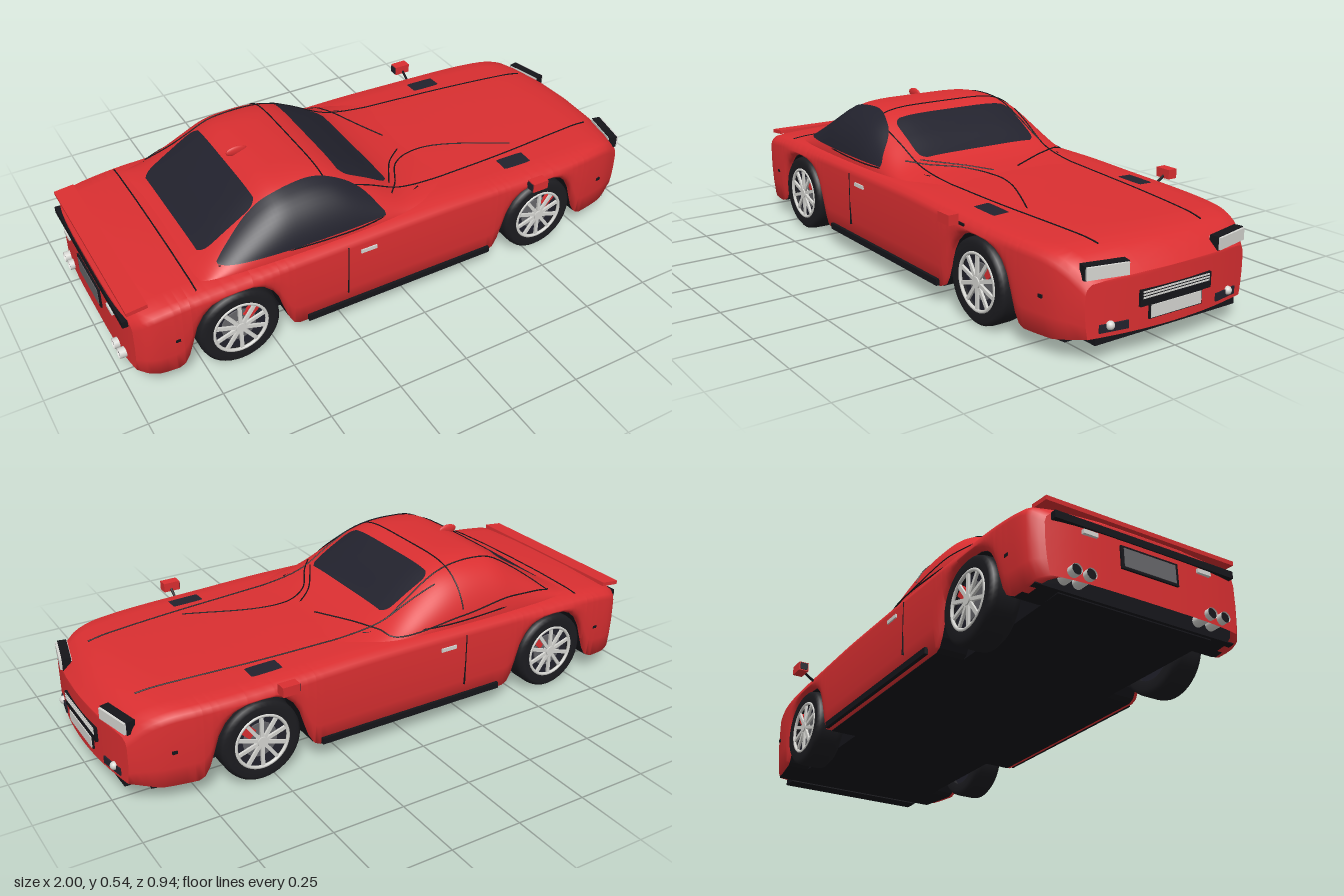
import * as THREE from 'three';

const mat = (name, color) => Object.assign(new THREE.MeshStandardMaterial({ color, side: THREE.DoubleSide }), { name });

// Smooth y(x) through a few points (cubic Hermite)
const profile = (p) => (x) => {
  const n = p.length - 1;
  if (x <= p[0][0]) return p[0][1];
  if (x >= p[n][0]) return p[n][1];
  let i = 0;
  while (x > p[i + 1][0]) i++;
  const slope = (k) => {
    const a = p[Math.max(k - 1, 0)], b = p[Math.min(k + 1, n)];
    return (b[1] - a[1]) / (b[0] - a[0]);
  };
  const d = p[i + 1][0] - p[i][0], t = (x - p[i][0]) / d, s = 1 - t;
  return p[i][1] * (1 + 2 * t) * s * s + slope(i) * d * t * s * s
    + p[i + 1][1] * t * t * (3 - 2 * t) - slope(i + 1) * d * t * t * s;
};

// Body width, deck height, roof line and cabin width along the car
const halfWidth = profile([[-0.985, 0.35], [-0.96, 0.378], [-0.9, 0.392], [-0.7, 0.399], [0, 0.4], [0.5, 0.399], [0.7, 0.392], [0.85, 0.372], [0.93, 0.352], [0.995, 0.315]]);
const deck = profile([[-0.985, 0.288], [-0.95, 0.315], [-0.85, 0.332], [-0.7, 0.342], [0.1, 0.352], [0.4, 0.345], [0.8, 0.334], [0.88, 0.325], [0.94, 0.305], [0.995, 0.255]]);
const roof = profile([[-0.74, 0.335], [-0.7, 0.352], [-0.6, 0.42], [-0.5, 0.485], [-0.44, 0.517], [-0.38, 0.527], [-0.28, 0.526], [-0.2, 0.508], [-0.1, 0.455], [0, 0.392], [0.05, 0.372], [0.12, 0.358], [0.25, 0.345]]);
const cabinWidth = profile([[-0.74, 0.34], [-0.6, 0.36], [-0.3, 0.372], [0, 0.365], [0.25, 0.33]]);
// Cabin cross-section: superellipse exponents across and up
const BASE = 0.33, N = 5, M = 1.55;

// Wheel arches: bell-shaped cut in the lower edge
const AXLES = [-0.63, 0.545];
const ARCH = [[0, 0.29], [0.05, 0.285], [0.09, 0.268], [0.12, 0.24], [0.143, 0.2], [0.16, 0.145], [0.175, 0.1], [0.192, 0.07], [0.212, 0.06]];
function lowerEdge(x) {
  for (const a of AXLES) {
    const d = Math.abs(x - a);
    const i = ARCH.findIndex((p) => d <= p[0] + 1e-6);
    if (i === 0) return ARCH[0][1];
    if (i > 0) return THREE.MathUtils.mapLinear(d, ARCH[i - 1][0], ARCH[i][0], ARCH[i - 1][1], ARCH[i][1]);
  }
  return 0.06 + Math.max(0, x - 0.9) * 0.2 + Math.max(0, -0.9 - x) * 0.18;
}
const archXs = AXLES.flatMap((a) => ARCH.flatMap((p) => (p[0] ? [a - p[0], a + p[0]] : [a])));

// Half cross-section [z, y] from the sill lip up to the centre line
function halfSection(x) {
  const w = halfWidth(x), t = deck(x), b = lowerEdge(x), s = t - 0.045;
  const mix = (k) => b + (s - b) * k;
  return [[0.88 * w, b], [0.97 * w, b], [0.99 * w, mix(0.3)], [w, mix(0.6)], [w, s], [0.985 * w, s + 0.018],
    [0.94 * w, s + 0.032], [0.8 * w, t - 0.007], [0.4 * w, t - 0.001], [0, t]];
}
// Nose and tail bow outward in plan
const bow = (x, z) => x - 0.045 * (z / 0.35) ** 2 * THREE.MathUtils.smoothstep(x, 0.75, 1)
  + 0.02 * (z / 0.35) ** 4 * THREE.MathUtils.smoothstep(-x, 0.88, 1);

function bodyY(x, z) {
  const h = halfSection(x), a = Math.abs(z);
  for (let i = 4; i < h.length - 1; i++) {
    if (a <= h[i][0] && a >= h[i + 1][0]) return THREE.MathUtils.mapLinear(a, h[i][0], h[i + 1][0], h[i][1], h[i + 1][1]);
  }
  return h[4][1];
}
const cabinY = (x, z) => BASE + (roof(x) - BASE) * Math.max(0, 1 - Math.abs(z / cabinWidth(x)) ** N) ** (1 / M);
const cabinZ = (x, y) => cabinWidth(x) * Math.max(0, 1 - ((y - BASE) / (roof(x) - BASE)) ** M) ** (1 / N);
const skinY = (x, z) => Math.max(bodyY(x, z), x > -0.74 && x < 0.25 ? cabinY(x, z) : 0);

// Grid surface from fn(i, j) -> [x, y, z]
function grid(fn, nu, nv) {
  const pos = [], idx = [];
  for (let i = 0; i <= nu; i++) for (let j = 0; j <= nv; j++) {
    pos.push(...fn(i, j));
    const a = i * (nv + 1) + j, b = a + nv + 1;
    if (i < nu && j < nv) idx.push(a, b, a + 1, b, b + 1, a + 1);
  }
  const g = new THREE.BufferGeometry();
  g.setAttribute('position', new THREE.Float32BufferAttribute(pos, 3));
  g.setIndex(idx);
  g.computeVertexNormals();
  return g;
}

export function createModel() {
  const red = mat('red paint', 0xda2f31), black = mat('black trim', 0x15151a), glass = mat('dark glass', 0x22222d);
  const rubber = mat('tyre rubber', 0x1c1c20), chrome = mat('light metal', 0xd6d6d2), grey = mat('grey plate', 0x66666a);
  const car = new THREE.Group();
  car.name = 'car';
  const add = (name, geo, m, p = [0, 0, 0], parent = car) => {
    const mesh = new THREE.Mesh(geo, m);
    mesh.name = name;
    mesh.position.set(...p);
    parent.add(mesh);
    return mesh;
  };
  const box = (name, size, p, m, parent) => add(name, new THREE.BoxGeometry(...size), m, p, parent);
  const rod = (name, pts, r, m) => add(name, new THREE.TubeGeometry(new THREE.CatmullRomCurve3(pts.map((p) => new THREE.Vector3(...p))), 48, r, 5), m);

  // Body shell
  const xs = [...archXs, -0.985, -0.975, -0.96, 0.975, 0.995];
  for (let x = -0.94; x < 0.97; x += 0.03) xs.push(x);
  xs.sort((a, b) => a - b);
  const rings = xs.map((x) => {
    const h = halfSection(x);
    return [...h, ...h.slice(0, -1).reverse().map(([z, y]) => [-z, y])];
  });
  add('bodyShell', grid((i, j) => {
    const [z, y] = rings[i][j];
    return [bow(xs[i], z), y, z];
  }, xs.length - 1, rings[0].length - 1), red);
  for (const [name, x, dir] of [['nosePanel', 0.995, 1], ['tailPanel', -0.985, -1]]) {
    const h = halfSection(x).slice(1);
    add(name, grid((i, j) => {
      const z = dir * h[i][0] * (j / 8 - 1);
      return [bow(x, z), h[i][1], z];
    }, h.length - 1, 16), red);
  }

  // Cabin
  add('cabin', grid((i, j) => {
    const x = -0.74 + 0.99 * i / 66, a = Math.PI * j / 48, c = Math.cos(a);
    return [x, BASE + (roof(x) - BASE) * Math.abs(Math.sin(a)) ** (2 / M), cabinWidth(x) * Math.sign(c) * Math.abs(c) ** (2 / N)];
  }, 66, 48), red);

  // Windows and hood vents laid on the skin, with rounded corners
  const patch = (name, x0, x1, zMid, half, m) => add(name, grid((i, j) => {
    const u = i / 12 - 1, x = x0 + (x1 - x0) * i / 24;
    const z = zMid + half * (1 - 0.1 * Math.abs(u) ** 8) * (1 - j / 8);
    return [x, skinY(x, z) + 0.004, z];
  }, 24, 16), m);
  patch('windshield', -0.185, 0, 0, 0.247, glass);
  patch('rearWindow', -0.69, -0.485, 0, 0.245, glass);
  const windowTop = profile([[-0.66, 0.362], [-0.6, 0.405], [-0.52, 0.46], [-0.45, 0.498], [-0.38, 0.512], [-0.28, 0.512], [-0.2, 0.488], [-0.13, 0.44], [-0.08, 0.37]]);
  add('sideWindow', grid((i, j) => {
    const x = -0.66 + 0.58 * i / 40, y = 0.358 + (windowTop(x) - 0.358) * j / 12;
    return [x, y + 0.003, cabinZ(x, y) + 0.004];
  }, 40, 12), glass);

  // Panel seams drawn on the skin as [x, z] paths
  const seam = (name, pts) => {
    const c = new THREE.SplineCurve(pts.map((p) => new THREE.Vector2(...p)));
    rod(name, c.getPoints(40).map((p) => [p.x, skinY(p.x, p.y) + 0.001, p.y]), 0.0025, black);
  };
  seam('roofSeam', [[-0.25, 0.36], [-0.25, 0.15], [-0.25, -0.15], [-0.25, -0.36]]);
  seam('trunkSeam', [[-0.755, 0.365], [-0.755, 0], [-0.755, -0.365]]);
  seam('cowlSeamRight', [[-0.65, -0.33], [-0.5, -0.352], [-0.25, -0.366], [0, -0.355], [0.05, -0.29], [0.1, -0.17], [0.155, -0.05]]);
  seam('windowSeamRight', [[-0.65, -0.33], [-0.55, -0.27], [-0.4, -0.245], [-0.2, -0.25], [0, -0.27]]);
  seam('cowlSeamLeft', [[-0.02, 0.3], [0.03, 0.24], [0.1, 0.13], [0.2, 0.08], [0.33, 0.1], [0.54, 0.2]]);
  seam('cowlSeamCentre', [[0.0, 0.25], [0.08, 0.12], [0.155, 0.05]]);

  for (const s of [1, -1]) {
    const side = s > 0 ? 'Left' : 'Right';
    patch('hoodVent' + side, 0.43, 0.54, s * 0.297, 0.029, glass);
    seam('hoodSeam' + side, [[-0.18, s * 0.285], [0.1, s * 0.262], [0.5, s * 0.24], [0.88, s * 0.205]]);
    rod('beltSeam' + side, [-0.66, -0.4, -0.1, 0.1].map((x) => [x, 0.355, s * (cabinZ(x, 0.355) || 0.35)]), 0.0025, black);

    // Doors, sills and side markers
    box('doorSeam' + side, [0.004, 0.19, 0.008], [-0.24, 0.215, s * 0.397], black);
    box('doorHandle' + side, [0.06, 0.013, 0.012], [-0.165, 0.28, s * 0.399], chrome);
    box('sill' + side, [0.72, 0.022, 0.03], [-0.03, 0.074, s * 0.387], black);
    for (const x of [-0.84, 0.83]) box('sideMarker' + side, [0.016, 0.01, 0.01], [x, 0.185, s * (halfWidth(x) - 0.004)], black);

    // Mirrors
    rod('mirrorStalk' + side, [[0.48, 0.302, s * 0.39], [0.48, 0.318, s * 0.415], [0.48, 0.335, s * 0.44]], 0.005, black);
    box('mirror' + side, [0.06, 0.033, 0.036], [0.477, 0.34, s * 0.451], red);
    box('mirrorGlass' + side, [0.004, 0.026, 0.028], [0.446, 0.34, s * 0.451], glass);

    // Headlights and fog lights
    for (const [name, size, x, m] of [['headlightFrame', [0.03, 0.044, 0.142], 0.953, black], ['headlight', [0.04, 0.038, 0.135], 0.956, chrome]]) {
      box(name + side, size, [x, 0.275, s * 0.243], m).rotation.y = -s * 0.22;
    }
    box('fogHousing' + side, [0.02, 0.025, 0.097], [0.971, 0.106, s * 0.222], glass).rotation.y = -s * 0.17;
    add('fogLight' + side, new THREE.SphereGeometry(0.014, 16, 12), chrome, [0.977, 0.113, s * 0.236]);

    // Reversing lights and twin exhausts
    box('reversingLight' + side, [0.014, 0.014, 0.05], [-0.985, 0.237, s * 0.21], chrome);
    for (const z of [0.22, 0.27]) {
      const pipe = add('exhaust' + side, new THREE.CylinderGeometry(0.018, 0.018, 0.07, 16, 1, true), chrome, [-0.965, 0.1, s * z]);
      pipe.rotation.z = Math.PI / 2;
      add('exhaustBore' + side, new THREE.CylinderGeometry(0.0175, 0.0175, 0.05, 16), black, [-0.97, 0.1, s * z]).rotation.z = Math.PI / 2;
    }
  }

  // Nose: grille, bars, plate, chin
  box('grille', [0.024, 0.05, 0.28], [0.985, 0.176, 0], black);
  for (let i = 0; i < 3; i++) box('grilleBar', [0.006, 0.005, 0.264], [0.996, 0.177 + i * 0.009, 0], chrome);
  box('frontPlateFrame', [0.02, 0.046, 0.21], [0.987, 0.13, 0], black);
  box('frontPlate', [0.006, 0.039, 0.2], [0.997, 0.13, 0], chrome);
  box('chin', [0.06, 0.024, 0.56], [0.935, 0.068, 0], black);

  // Tail: light strip, plate, lip spoiler
  box('tailStrip', [0.02, 0.024, 0.66], [-0.979, 0.264, 0], black);
  box('rearPlateFrame', [0.016, 0.075, 0.21], [-0.983, 0.195, 0], black);
  box('rearPlate', [0.006, 0.06, 0.19], [-0.99, 0.195, 0], grey);
  box('spoiler', [0.07, 0.014, 0.7], [-0.942, 0.32, 0], red).rotation.z = 0.1;
  const fin = add('roofFin', new THREE.SphereGeometry(1, 20, 12), red, [-0.44, 0.522, 0]);
  fin.scale.set(0.038, 0.018, 0.008);

  // Dark chassis with wheel wells
  const under = [-0.93, ...archXs, 0.9].sort((a, b) => a - b).map((x) => new THREE.Vector2(x, lowerEdge(x) - 0.002));
  under.push(...[[0.92, 0.2], [0.84, 0.303], [-0.86, 0.303], [-0.93, 0.24]].map((p) => new THREE.Vector2(...p)));
  const chassis = new THREE.ExtrudeGeometry(new THREE.Shape(under), { depth: 2, bevelEnabled: false }).translate(0, 0, -1);
  const cp = chassis.attributes.position;
  for (let i = 0; i < cp.count; i++) cp.setZ(i, Math.sign(cp.getZ(i)) * (halfWidth(cp.getX(i)) - 0.025));
  chassis.computeVertexNormals();
  add('chassis', chassis, black);
  box('innerFloor', [1.82, 0.22, 0.56], [-0.01, 0.169, 0], black);

  // Wheels: tyre, rim, spokes, brake
  const tyre = new THREE.LatheGeometry([[0.094, -0.05], [0.125, -0.055], [0.137, -0.045], [0.14, -0.03], [0.14, 0.03], [0.137, 0.045], [0.125, 0.055], [0.094, 0.05]]
    .map((p) => new THREE.Vector2(...p)), 40).rotateX(Math.PI / 2);
  const disc = (r, d) => new THREE.CylinderGeometry(r, r, d, 32).rotateX(Math.PI / 2);
  for (const x of AXLES) for (const s of [1, -1]) {
    const wheel = new THREE.Group();
    wheel.name = 'wheel';
    wheel.position.set(x, 0.141, s * 0.344);
    if (s < 0) wheel.rotation.y = Math.PI;
    car.add(wheel);
    add('tyre', tyre, rubber, [0, 0, 0], wheel);
    add('wheelBack', disc(0.096, 0.06), glass, [0, 0, 0], wheel);
    add('rimRing', new THREE.TorusGeometry(0.092, 0.006, 8, 40), chrome, [0, 0, 0.048], wheel);
    add('brakeDisc', disc(0.06, 0.006), grey, [0, 0, 0.032], wheel);
    box('brakeCaliper', [0.035, 0.05, 0.012], [s * 0.045, 0.045, 0.034], red, wheel).rotation.z = -s * 0.8;
    add('hub', disc(0.018, 0.02), chrome, [0, 0, 0.045], wheel);
    for (let k = 0; k < 10; k++) {
      const spoke = new THREE.BoxGeometry(0.012, 0.078, 0.008).translate(0, 0.052, 0).rotateZ(k * Math.PI / 5);
      add('spoke', spoke, chrome, [0, 0, 0.047], wheel);
    }
  }
  return car;
}
